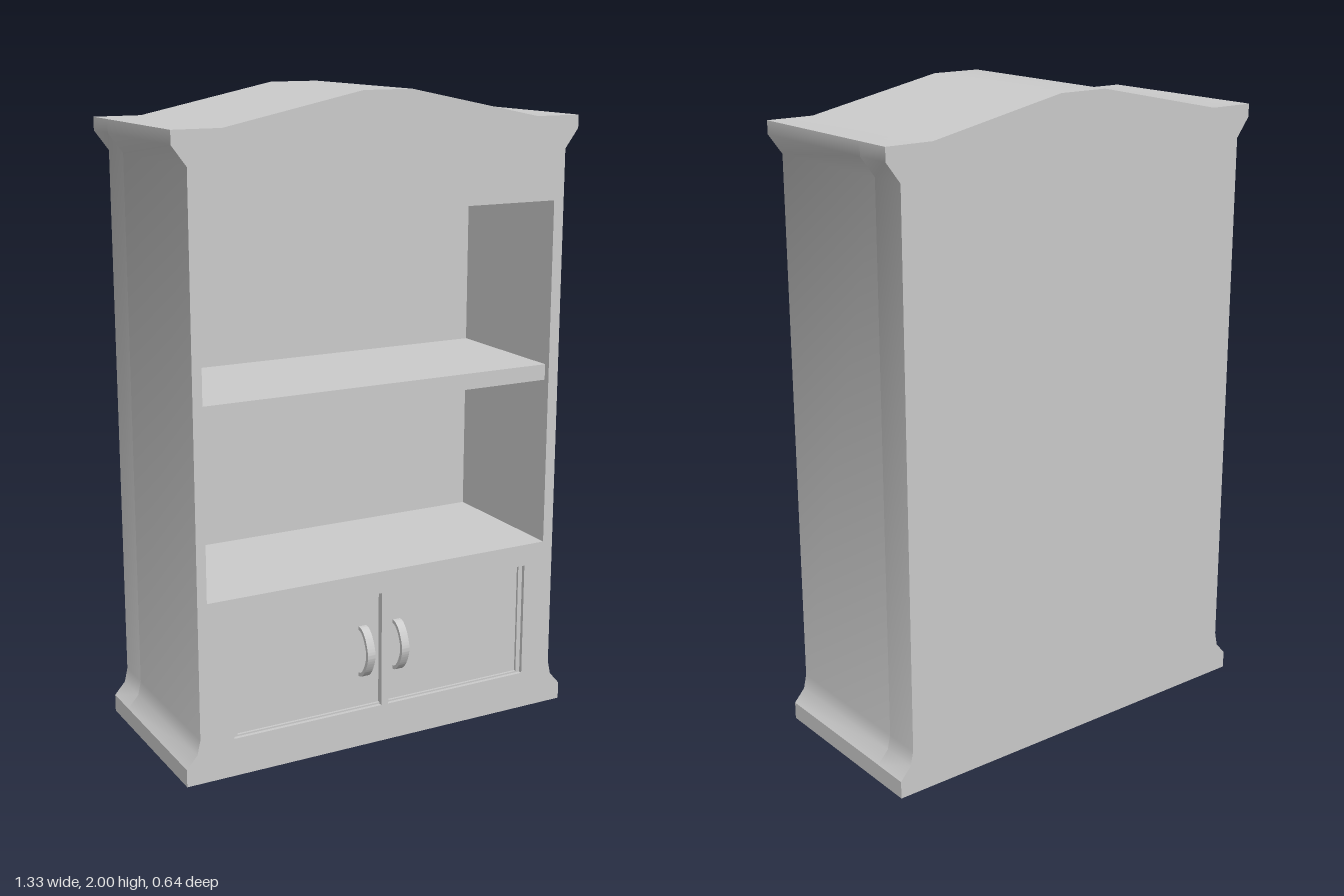
import * as THREE from 'three';
import { toCreasedNormals } from 'three/addons/utils/BufferGeometryUtils.js';

const BACK = -0.32, CAVITY = -0.2, FRONT = 0.28, PANEL = 0.26;

export function createModel() {
  const group = new THREE.Group();
  const material = new THREE.MeshStandardMaterial({ color: 0xcccccc });

  const add = (name, geometry) => {
    const mesh = new THREE.Mesh(geometry, material);
    mesh.name = name;
    group.add(mesh);
    return mesh;
  };
  const box = (name, x0, x1, y0, y1, z0, z1) =>
    add(name, new THREE.BoxGeometry(x1 - x0, y1 - y0, z1 - z0))
      .position.set((x0 + x1) / 2, (y0 + y1) / 2, (z0 + z1) / 2);
  const extrude = (shape, depth) =>
    toCreasedNormals(new THREE.ExtrudeGeometry(shape, { depth, bevelEnabled: false }), 0.7);

  // Silhouette: flared plinth, straight sides, cornice and low pediment
  const half = [
    [0.665, 0], [0.665, 0.055], [0.63, 0.095], [0.62, 0.14],
    [0.62, 1.81], [0.665, 1.87], [0.665, 1.91], [0.515, 1.91], [0.08, 2],
  ];
  const outline = [...half, ...half.map(([x, y]) => [-x, y]).reverse()]
    .map(([x, y]) => new THREE.Vector2(x, y));

  const rectHole = ([x0, x1, y0, y1]) => new THREE.Path([
    new THREE.Vector2(x0, y0), new THREE.Vector2(x0, y1),
    new THREE.Vector2(x1, y1), new THREE.Vector2(x1, y0),
  ]);
  const shelfOpening = [-0.59, 0.585, 0.56, 1.655];
  const doorOpenings = [[-0.51, -0.01, 0.12, 0.49], [0.015, 0.515, 0.12, 0.49]];

  // Carcass with openings, closed by a solid back
  const carcass = new THREE.Shape(outline);
  carcass.holes = [shelfOpening, ...doorOpenings].map(rectHole);
  add('carcass', extrude(carcass, FRONT - CAVITY)).position.z = CAVITY;
  add('back', extrude(new THREE.Shape(outline), CAVITY - BACK)).position.z = BACK;

  // Middle shelf, set slightly back from the front
  box('shelf', shelfOpening[0], shelfOpening[1], 1.09, 1.14, CAVITY, FRONT - 0.02);

  // Handle: bowed strip, profile drawn with outward distance as x and height as y
  const handleShape = new THREE.Shape();
  handleShape.moveTo(PANEL - 0.005, 0.225);
  handleShape.splineThru([[0.28, 0.23], [0.305, 0.26], [0.32, 0.307], [0.305, 0.355],
    [0.28, 0.383], [PANEL - 0.005, 0.388]].map(p => new THREE.Vector2(...p)));
  handleShape.lineTo(PANEL - 0.005, 0.378);
  handleShape.splineThru([[0.278, 0.37], [0.297, 0.345], [0.308, 0.307], [0.297, 0.27],
    [0.278, 0.243], [PANEL - 0.005, 0.235]].map(p => new THREE.Vector2(...p)));
  const handleGeometry = toCreasedNormals(new THREE.ExtrudeGeometry(handleShape,
    { depth: 0.026, bevelEnabled: false, curveSegments: 14 }), 0.7);
  handleGeometry.translate(0, 0, -0.013).rotateY(-Math.PI / 2);

  // Recessed doors with a hinge strip on the outer side and thin rails
  doorOpenings.forEach(([x0, x1, y0, y1], i) => {
    const side = i ? 'left' : 'right';
    box(side + 'Door', x0, x1, y0, y1, PANEL - 0.03, PANEL);
    const hinge = i ? x1 - 0.015 : x0;
    box(side + 'HingeStrip', hinge, hinge + 0.015, y0, y1, PANEL, PANEL + 0.008);
    box(side + 'TopRail', x0, x1, y1 - 0.005, y1, PANEL, PANEL + 0.008);
    box(side + 'BottomRail', x0, x1, y0, y0 + 0.005, PANEL, PANEL + 0.008);
    // Strip profile faces +z after the turn
    const handle = add(side + 'Handle', handleGeometry);
    handle.position.x = i ? 0.053 : -0.067;
  });

  return group;
}
